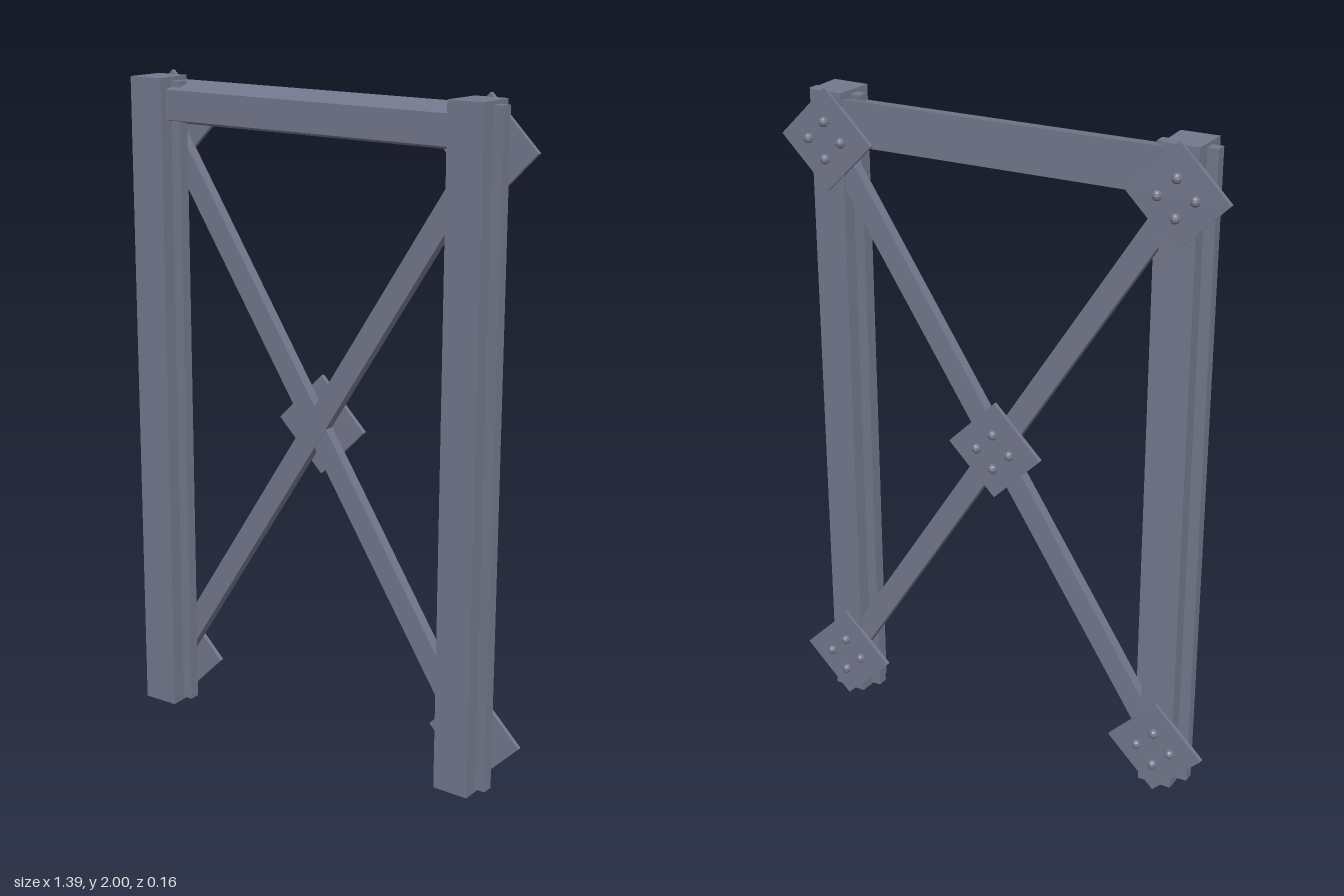
import * as THREE from 'three';

const material = new THREE.MeshStandardMaterial({ color: 0x74788c, flatShading: true });

function addMesh(parent, name, geometry, x, y, z) {
  const mesh = new THREE.Mesh(geometry, material);
  mesh.name = name;
  mesh.position.set(x, y, z);
  parent.add(mesh);
  return mesh;
}

// Box whose back (-z) face is scaled in x and y, for roughly hewn members.
function taperedBox(w, h, d, backX, backY) {
  const geometry = new THREE.BoxGeometry(w, h, d);
  const p = geometry.attributes.position;
  for (let i = 0; i < p.count; i++) {
    if (p.getZ(i) < 0) p.setXY(i, p.getX(i) * backX, p.getY(i) * backY);
  }
  geometry.computeVertexNormals();
  return geometry;
}

// Upright with a narrow rib along both sides.
function makePost(side) {
  const post = new THREE.Group();
  post.name = side > 0 ? 'leftPost' : 'rightPost';
  addMesh(post, 'postCore', taperedBox(0.113, 1.97, 0.125, 0.92, 1), 0, 1.003, 0.01);
  addMesh(post, 'postRibs', new THREE.BoxGeometry(0.173, 1.95, 0.034), 0, 1.002, 0.008);
  post.position.x = side * 0.543;
  post.rotation.y = side > 0 ? -0.03 : 0.01;
  return post;
}

// Diamond plate with four rivets on its back.
function makePlate(x, y) {
  const plate = new THREE.Group();
  plate.name = 'gussetPlate';
  const side = 0.15 * Math.SQRT2;
  addMesh(plate, 'plate', new THREE.BoxGeometry(side, side, 0.014), 0, 0, 0).rotation.z = Math.PI / 4;
  for (let i = 0; i < 4; i++) {
    const a = (i * Math.PI) / 2;
    addMesh(plate, 'rivet', new THREE.SphereGeometry(0.015, 8, 6), 0.054 * Math.cos(a), 0.054 * Math.sin(a), -0.015);
  }
  plate.position.set(x, y, -0.055);
  return plate;
}

export function createModel() {
  const model = new THREE.Group();
  model.name = 'bracedFrame';

  for (const side of [-1, 1]) model.add(makePost(side));

  // Top beam, taller at the back and dipping slightly to one side
  const beam = addMesh(model, 'topBeam', taperedBox(1.05, 0.087, 0.1, 1, 1.5), 0, 1.908, 0);
  beam.rotation.z = -0.005;

  // Crossed diagonal braces
  for (const side of [-1, 1]) {
    const brace = addMesh(model, 'diagonalBrace', new THREE.BoxGeometry(2.02, 0.067, 0.034), 0, 1, -0.031 + side * 0.001);
    brace.rotation.z = side * Math.atan2(1.7, 1.086);
  }

  // Plates at the corners and at the crossing
  for (const x of [-0.543, 0.543]) {
    for (const y of [0.15, 1.85]) model.add(makePlate(x, y));
  }
  model.add(makePlate(0, 1));

  return model;
}
